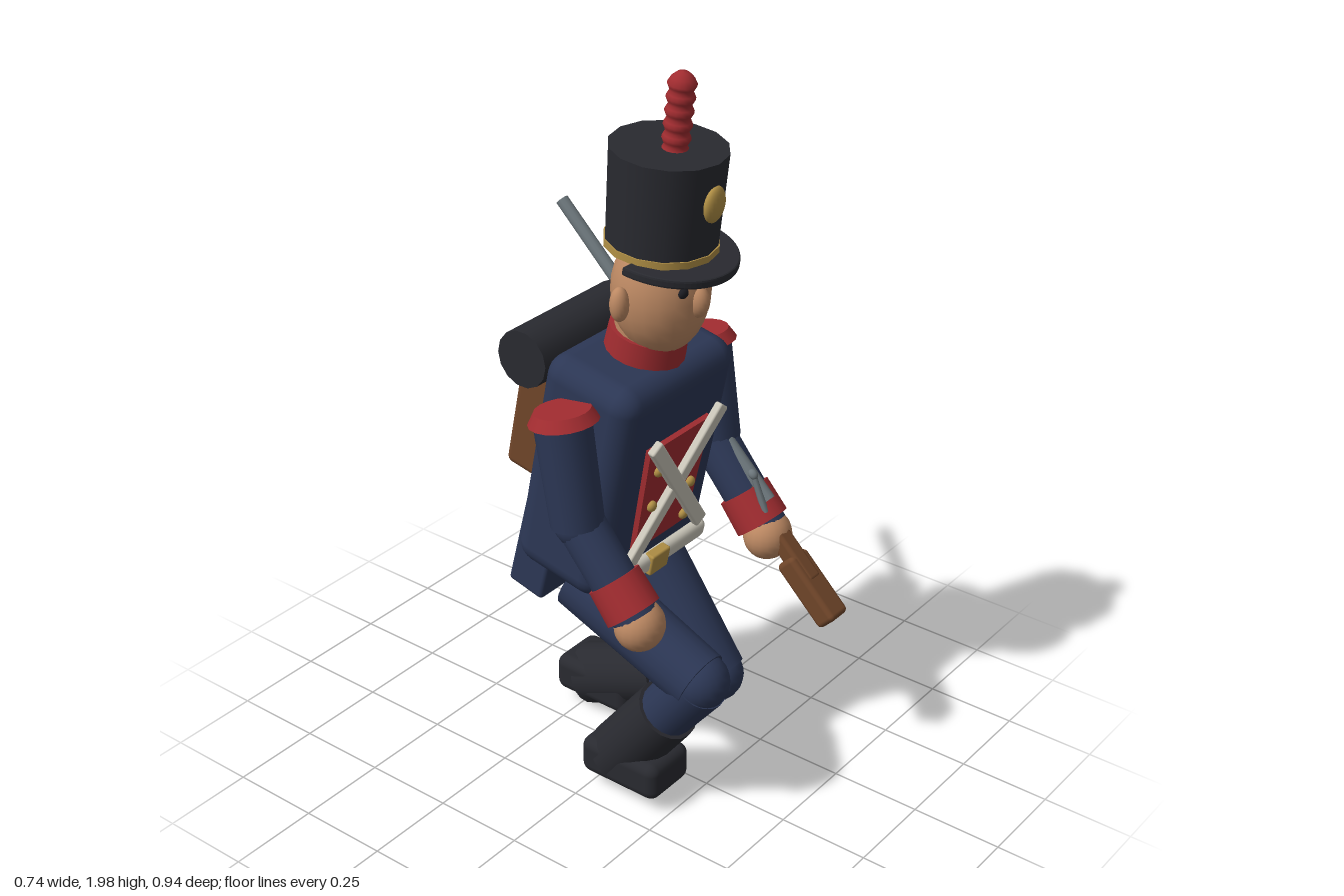
import * as THREE from 'three';
import { RoundedBoxGeometry } from 'three/addons/geometries/RoundedBoxGeometry.js';

const colour = (name, hex) => {
  const m = new THREE.MeshStandardMaterial({ color: hex });
  m.name = name;
  return m;
};

export function createModel() {
  const navy = colour('navy cloth', 0x2c3755);
  const black = colour('black leather', 0x292a30);
  const red = colour('red cloth', 0xa12c30);
  const skin = colour('skin', 0xbd8963);
  const brown = colour('brown wood and hide', 0x6f4529);
  const gold = colour('brass', 0xb08f45);
  const white = colour('white straps', 0xcbc7ba);
  const steel = colour('steel', 0x6c767b);
  const eyeBlack = colour('eye black', 0x1b1c22);

  const root = new THREE.Group();
  root.name = 'soldier';

  const add = (parent, name, geometry, material, x = 0, y = 0, z = 0) => {
    const mesh = new THREE.Mesh(geometry, material);
    mesh.name = name;
    mesh.position.set(x, y, z);
    parent.add(mesh);
    return mesh;
  };
  const group = (parent, name, x, y, z, rx = 0) => {
    const g = new THREE.Group();
    g.name = name;
    g.position.set(x, y, z);
    g.rotation.x = rx;
    parent.add(g);
    return g;
  };
  const box = (w, h, d, r) => new RoundedBoxGeometry(w, h, d, 3, r);
  const ball = (rx, ry, rz) => new THREE.SphereGeometry(1, 20, 14).scale(rx, ry, rz);
  const tube = (rTop, rBottom, h, sides = 18) => new THREE.CylinderGeometry(rTop, rBottom, h, sides);

  // Tapered limb between two points [y, z] at a fixed x
  const limb = (parent, name, material, x, a, b, ra, rb) => {
    const dy = a[0] - b[0], dz = a[1] - b[1];
    const mesh = add(parent, name, tube(ra, rb, Math.hypot(dy, dz)), material,
      x, (a[0] + b[0]) / 2, (a[1] + b[1]) / 2);
    mesh.rotation.x = Math.atan2(dz, dy);
    return mesh;
  };
  const mix = (a, b, t) => [a[0] + (b[0] - a[0]) * t, a[1] + (b[1] - a[1]) * t];

  // Coat, leaning forward
  const coat = group(root, 'coat', 0, 0.63, -0.085, 0.2);
  add(coat, 'torso', box(0.455, 0.64, 0.285, 0.06), navy, 0, 0.32, -0.008);
  add(coat, 'collar', tube(0.1, 0.105, 0.085), red, 0, 0.66, -0.005);

  // Chest panel, tapering to the waist
  const panel = new THREE.Shape();
  panel.moveTo(-0.125, 0.46);
  panel.lineTo(-0.11, 0.14);
  panel.lineTo(0.11, 0.14);
  panel.lineTo(0.125, 0.46);
  add(coat, 'chestPanel', new THREE.ExtrudeGeometry(panel, { depth: 0.025, bevelEnabled: false }), red, 0, 0, 0.125);
  for (const s of [-1, 1]) {
    const strap = add(coat, 'crossStrap', box(0.042, 0.465, 0.022, 0.006), white, 0, 0.312, 0.166 + s * 0.003);
    strap.rotation.z = s * 0.66;
    for (const y of [0.17, 0.275, 0.385])
      add(coat, 'coatButton', ball(0.015, 0.015, 0.012), gold, s * 0.08, y, 0.155);
  }
  add(coat, 'belt', box(0.42, 0.056, 0.06, 0.02), white, 0, 0.058, 0.13);
  add(coat, 'beltBuckle', box(0.075, 0.062, 0.03, 0.006), gold, 0, 0.058, 0.152);

  // Knapsack and bedroll
  add(coat, 'knapsack', box(0.3, 0.37, 0.11, 0.02), brown, 0, 0.39, -0.212);
  add(root, 'bedroll', tube(0.077, 0.077, 0.385, 14), black, 0, 1.225, -0.2).rotation.z = Math.PI / 2;

  // Coat tails
  for (const s of [-1, 1])
    add(root, 'coatTail', box(0.155, 0.3, 0.115, 0.012), navy, s * 0.11, 0.688, -0.18).rotation.x = 0.25;

  // Arms
  for (const s of [-1, 1]) {
    const arm = group(root, s > 0 ? 'leftArm' : 'rightArm', 0, 0, 0);
    const shoulder = [1.17, 0.005], elbow = [0.89, 0.05], wrist = [0.68, 0.225];
    limb(arm, 'upperArm', navy, s * 0.285, shoulder, elbow, 0.073, 0.068);
    add(arm, 'elbow', ball(0.064, 0.064, 0.064), navy, s * 0.28, elbow[0], elbow[1]);
    limb(arm, 'forearm', navy, s * 0.277, elbow, wrist, 0.062, 0.06);
    limb(arm, 'cuff', red, s * 0.275, mix(elbow, wrist, 0.6), mix(elbow, wrist, 0.95), 0.071, 0.074);
    add(arm, 'hand', ball(0.068, 0.068, 0.064), skin, s * 0.274, 0.662, 0.235);
    const epaulette = add(arm, 'epaulette', tube(0.072, 0.09, 0.03), red, s * 0.28, 1.175, 0.005);
    epaulette.rotation.x = -0.16;
  }

  // Legs: right knee forward, left leg trailing
  const poses = [
    { name: 'rightLeg', x: -0.127, knee: [0.447, 0.315], ankle: [0.1, 0.05] },
    { name: 'leftLeg', x: 0.127, knee: [0.275, 0.18], ankle: [0.095, -0.247] },
  ];
  for (const { name, x, knee, ankle } of poses) {
    const leg = group(root, name, 0, 0, 0);
    const hip = [0.61, -0.07];
    limb(leg, 'thigh', navy, x, hip, knee, 0.09, 0.083);
    add(leg, 'knee', ball(0.077, 0.077, 0.077), navy, x, knee[0], knee[1]);
    limb(leg, 'shin', navy, x, knee, ankle, 0.08, 0.07);
    limb(leg, 'bootShaft', black, x, mix(knee, ankle, 0.38), ankle, 0.086, 0.088);
    add(leg, 'bootFoot', box(0.165, 0.11, 0.25, 0.03), black, x, 0.112, ankle[1] + 0.055);
  }

  // Head
  const head = group(root, 'head', 0, 1.43, 0.085);
  add(head, 'skull', ball(0.126, 0.165, 0.122), skin);
  add(head, 'neck', tube(0.095, 0.085, 0.18), skin, 0, -0.1, -0.03).rotation.x = 0.15;
  add(head, 'nose', ball(0.029, 0.042, 0.032), skin, 0, -0.002, 0.11);
  for (const s of [-1, 1]) {
    add(head, 'ear', ball(0.026, 0.045, 0.024), skin, s * 0.136, 0.002, -0.02);
    add(head, 'eye', ball(0.016, 0.013, 0.01), eyeBlack, s * 0.052, 0.036, 0.107);
  }

  // Tall hat with band, peak, badge and plume
  const hat = group(root, 'hat', 0, 1.552, 0.085, 0.085);
  add(hat, 'hatCrown', tube(0.146, 0.138, 0.255, 14), black, 0, 0.125, 0);
  add(hat, 'hatBand', tube(0.142, 0.142, 0.018, 14), gold, 0, 0.006, 0);
  const peak = new THREE.Shape();
  peak.absellipse(0, 0, 0.163, 0.178, Math.PI, Math.PI * 2, false);
  peak.closePath();
  const peakGeometry = new THREE.ExtrudeGeometry(peak, {
    depth: 0.012, bevelEnabled: true, bevelThickness: 0.006, bevelSize: 0.004, bevelSegments: 2, curveSegments: 20,
  }).rotateX(-Math.PI / 2);
  add(hat, 'hatPeak', peakGeometry, black, 0, -0.018, 0.018).rotation.x = 0.05;
  add(hat, 'hatBadge', ball(0.037, 0.047, 0.018), gold, 0, 0.15, 0.143);
  const plume = [new THREE.Vector2(0, 0)];
  for (let i = 0; i <= 20; i++)
    plume.push(new THREE.Vector2(0.032 + 0.004 * Math.cos(i * Math.PI / 2), i * 0.0085));
  plume.push(new THREE.Vector2(0.028, 0.185), new THREE.Vector2(0.015, 0.197), new THREE.Vector2(0, 0.2));
  add(hat, 'plume', new THREE.LatheGeometry(plume, 16), red, 0, 0.245, 0.018).rotation.x = 0.03;

  // Musket, its muzzle at the group's origin
  const musket = group(root, 'musket', 0.272, 1.435, -0.452, -0.8);
  add(musket, 'barrel', tube(0.018, 0.019, 0.96, 12), steel, 0, -0.48, 0);
  add(musket, 'foreStock', box(0.052, 0.56, 0.06, 0.012), brown, 0, -0.71, -0.032);
  add(musket, 'stockWrist', box(0.05, 0.24, 0.05, 0.012), brown, 0, -1.08, -0.042);
  add(musket, 'stockButt', box(0.076, 0.2, 0.066, 0.014), brown, 0, -1.215, -0.052);
  add(musket, 'lockHammer', tube(0.008, 0.01, 0.11, 8), steel, -0.027, -0.93, 0.012).rotation.x = 0.4;
  add(musket, 'hammerTip', ball(0.012, 0.015, 0.012), steel, -0.027, -0.882, 0.032);

  return root;
}
